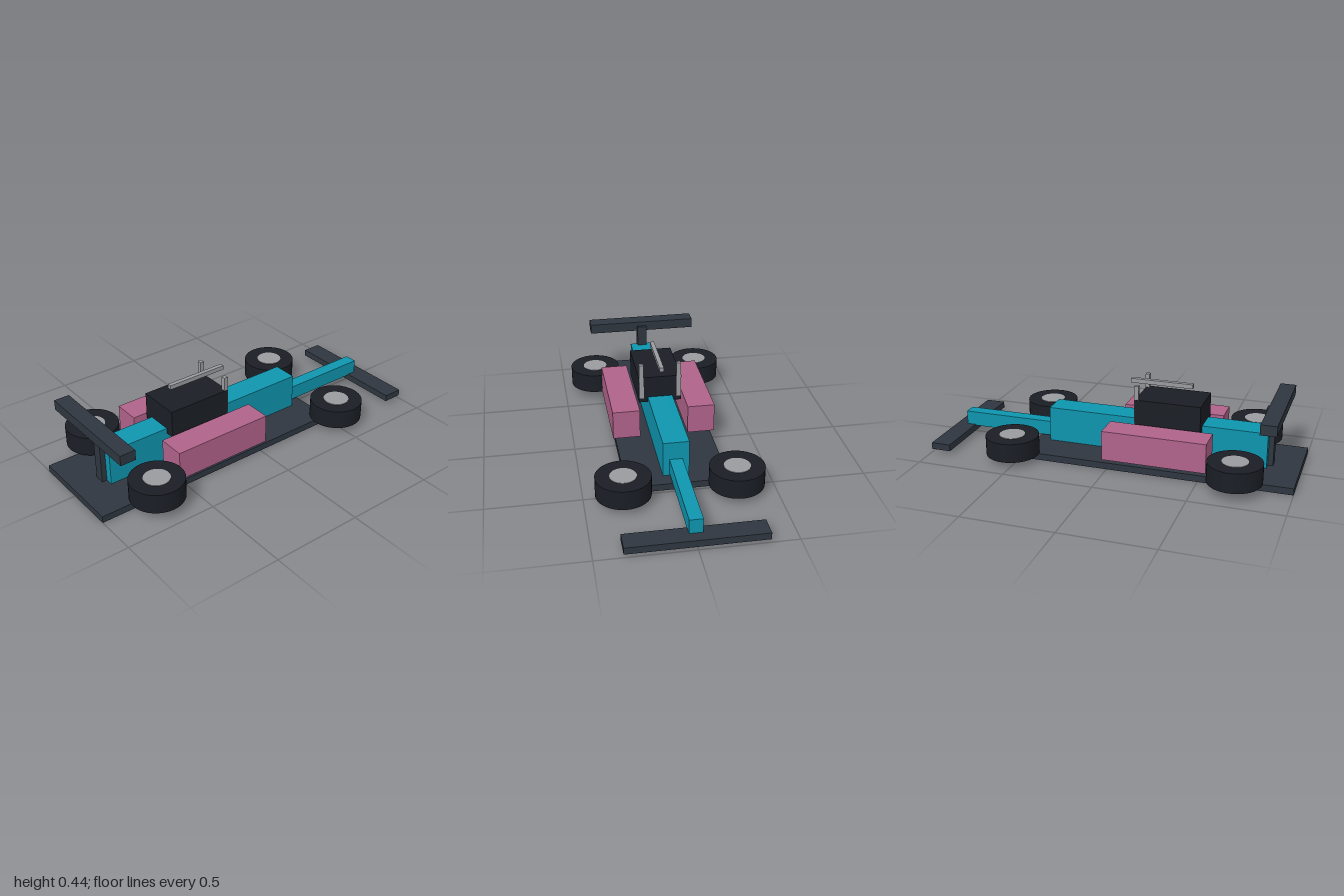
import * as THREE from 'three';

const material = (color) => new THREE.MeshStandardMaterial({ color });

export function createModel() {
  const model = new THREE.Group();
  model.name = 'racingCar';

  const slate = material(0x2f3640);
  const black = material(0x1a1e25);
  const teal = material(0x0e95ae);
  const pink = material(0xb0628a);
  const grey = material(0x999b9f);

  // Box given by its [min, max] range on each axis
  function box(name, mat, [x0, x1], [y0, y1], [z0, z1]) {
    const mesh = new THREE.Mesh(new THREE.BoxGeometry(x1 - x0, y1 - y0, z1 - z0), mat);
    mesh.position.set((x0 + x1) / 2, (y0 + y1) / 2, (z0 + z1) / 2);
    mesh.name = name;
    model.add(mesh);
  }

  // Floor and central body
  box('floor', slate, [-1, 0.483], [0, 0.037], [-0.27, 0.27]);
  box('body', teal, [-0.825, 0.402], [0.037, 0.233], [-0.07, 0.07]);
  box('nose', teal, [0.39, 0.94], [0.05, 0.133], [-0.035, 0.035]);
  box('cockpit', black, [-0.472, -0.11], [0.203, 0.356], [-0.12, 0.12]);

  // Wings
  box('frontWing', slate, [0.89, 1], [0.018, 0.055], [-0.355, 0.355]);
  box('rearWing', slate, [-0.904, -0.818], [0.325, 0.381], [-0.317, 0.317]);
  box('rearWingSupport', slate, [-0.853, -0.8], [0.037, 0.355], [-0.028, 0.028]);

  // Bar above the cockpit
  box('cockpitBar', grey, [-0.4, -0.055], [0.413, 0.437], [-0.012, 0.012]);

  // Flat-lying wheel with a hub disc showing on both faces
  function wheel(name, x, z, y0, y1) {
    const group = new THREE.Group();
    group.name = name;
    const height = y1 - y0;
    const tyre = new THREE.Mesh(new THREE.CylinderGeometry(0.145, 0.145, height, 40), black);
    tyre.name = 'tyre';
    const hub = new THREE.Mesh(new THREE.CylinderGeometry(0.07, 0.07, height + 0.005, 32), grey);
    hub.name = 'hub';
    group.add(tyre, hub);
    group.position.set(x, (y0 + y1) / 2, z);
    model.add(group);
  }

  // Parts mirrored across the centre line
  for (const [side, s] of [['near', 1], ['far', -1]]) {
    const mirror = (a, b) => (s > 0 ? [a, b] : [-b, -a]);
    box(side + 'SidePod', pink, [-0.545, 0.022], [0.06, 0.223], mirror(0.134, 0.285));
    box(side + 'BarPost', grey, [-0.13, -0.107], [0.228, 0.433], mirror(0.093, 0.118));
    wheel(side + 'RearWheel', -0.702, s * 0.31, 0.053, 0.162);
    wheel(side + 'FrontWheel', 0.532, s * 0.295, 0.038, 0.144);
  }

  return model;
}
